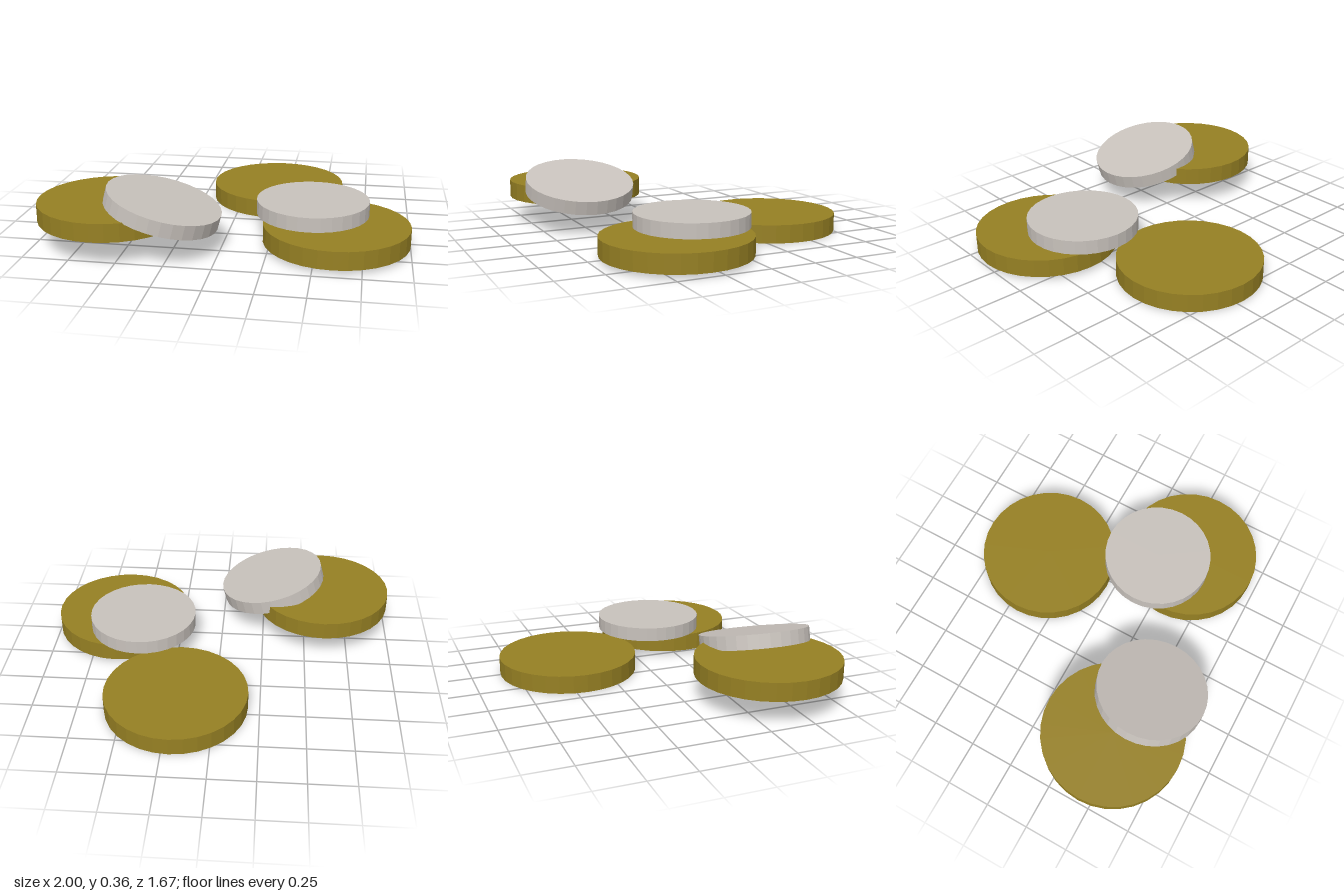
import * as THREE from 'three';

export function createModel() {
  const model = new THREE.Group();
  const gold = new THREE.MeshStandardMaterial({ color: 0x968023, flatShading: true });
  const silver = new THREE.MeshStandardMaterial({ color: 0xc8c2bc, flatShading: true });

  // Two coin sizes, both plain faceted discs
  const largeCoin = new THREE.CylinderGeometry(0.396, 0.396, 0.1, 32);
  const smallCoin = new THREE.CylinderGeometry(0.311, 0.311, 0.08, 32);

  function addCoin(name, geometry, material, x, y, z, tilt = 0) {
    const coin = new THREE.Mesh(geometry, material);
    coin.name = name;
    coin.position.set(x, y, z);
    coin.rotation.z = tilt;
    model.add(coin);
  }

  // Gold coins
  addCoin('goldCoinBack', largeCoin, gold, 0.21, 0.05, -0.441);
  addCoin('goldCoinLeft', largeCoin, gold, 0.604, 0.07, 0.314);
  addCoin('goldCoinRight', largeCoin, gold, -0.604, 0.19, 0.437);

  // Silver coins: one lying flat, one leaning on the raised gold coin
  addCoin('silverCoinFlat', smallCoin, silver, 0.465, 0.16, 0.16);
  addCoin('silverCoinLeaning', smallCoin, silver, -0.3, 0.24, 0.512, -Math.PI / 12);

  return model;
}
